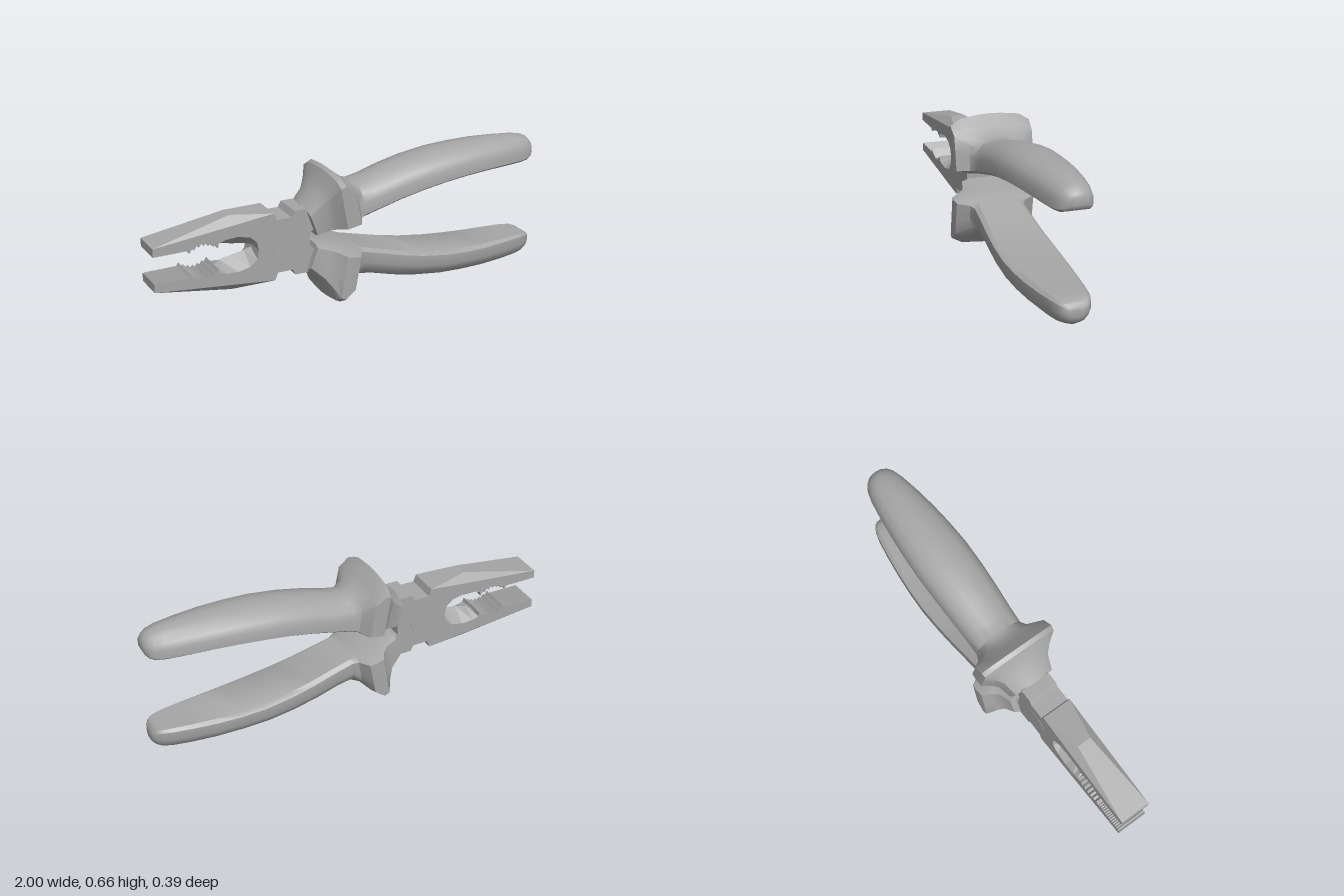
import * as THREE from 'three';
import { toCreasedNormals } from 'three/addons/utils/BufferGeometryUtils.js';

const MID = 0.331;   // height of the mirror plane between the two halves
const HALF = 0.075;  // half thickness of the steel head

// Skins a row of closed rings (points run up the +z side, down the -z side; rings advance in +x).
function loft(rings, crease = 0.01) {
  const pos = [];
  const tri = (a, b, c) => {
    const area = new THREE.Triangle(a, b, c).getArea();
    if (area > 1e-8) for (const p of [a, b, c]) pos.push(p.x, p.y, p.z);
  };
  const n = rings[0].length;
  for (let i = 0; i < rings.length - 1; i++) {
    for (let j = 0; j < n; j++) {
      const k = (j + 1) % n, p = rings[i], q = rings[i + 1];
      tri(p[j], q[j], q[k]);
      tri(p[j], q[k], p[k]);
    }
  }
  const first = rings[0], last = rings[rings.length - 1];
  for (let j = 1; j < n - 1; j++) {
    tri(first[0], first[j], first[j + 1]);
    tri(last[0], last[j + 1], last[j]);
  }
  const g = new THREE.BufferGeometry();
  g.setAttribute('position', new THREE.Float32BufferAttribute(pos, 3));
  return toCreasedNormals(g, crease);
}

// Mirrors a non-indexed geometry to the lower half, keeping faces outward.
function mirrored(geometry, crease) {
  const g = geometry.clone();
  const p = g.attributes.position;
  for (let i = 0; i < p.count; i += 3) {
    const v = [0, 2, 1].map(k => new THREE.Vector3().fromBufferAttribute(geometry.attributes.position, i + k));
    v.forEach((a, k) => p.setXYZ(i + k, a.x, 2 * MID - a.y, a.z));
  }
  return toCreasedNormals(g, crease);
}

// Upper half of the head outline, from the rear centre round to the back of the mouth.
function headOutline() {
  const pts = [
    [-0.24, MID], [-0.24, 0.372], [-0.2, 0.385], [-0.2, 0.46], [-0.255, 0.488], [-0.315, 0.488],
    [-0.33, 0.46], [-0.405, 0.46], [-0.418, 0.495], [-1, 0.435], [-1, 0.395],
  ];
  // fine gripping serrations
  for (let i = 0; i < 14; i++) {
    const x = -0.995 + i * 0.0115;
    pts.push([x, 0.398], [x + 0.006, 0.393]);
  }
  // coarse teeth on a hollow
  for (let i = 0; i <= 12; i++) {
    const t = i / 12;
    pts.push([-0.83 + 0.135 * t, 0.386 + 0.024 * Math.sin(Math.PI * t) + (i % 2 ? 0.007 : -0.006)]);
  }
  pts.push([-0.69, 0.402], [-0.66, 0.412], [-0.6, 0.416], [-0.54, 0.403], [-0.505, 0.372], [-0.497, MID]);
  return pts;
}

function headGeometry() {
  const upper = headOutline();
  const lower = upper.slice(1, -1).reverse().map(([x, y]) => [x, 2 * MID - y]);
  const shape = new THREE.Shape([...upper, ...lower].map(([x, y]) => new THREE.Vector2(x, y)));
  const g = new THREE.ExtrudeGeometry(shape, { depth: 2 * HALF, bevelEnabled: false });
  return g.translate(0, 0, -HALF);
}

// Chamfered back of the jaw, narrowing to its highest point
function jawBackGeometry() {
  const stations = [[-1, 0.435, 0.435, HALF], [-0.62, 0.474, 0.512, 0.035], [-0.418, 0.495, 0.495, HALF]];
  return loft(stations.map(([x, y0, y1, w]) => [
    new THREE.Vector3(x, y0, HALF), new THREE.Vector3(x, y1, w),
    new THREE.Vector3(x, y1, -w), new THREE.Vector3(x, y0, -HALF),
  ]));
}

// Wedge with its sharp edge in the middle of the thickness
function cutterGeometry() {
  const stations = [
    [-0.69, 0.402, 0.392], [-0.66, 0.412, 0.372], [-0.6, 0.416, 0.358],
    [-0.54, 0.403, 0.348], [-0.505, 0.372, 0.338],
  ];
  return loft(stations.map(([x, base, edge]) => [
    new THREE.Vector3(x, edge, 0), new THREE.Vector3(x, base, HALF), new THREE.Vector3(x, base, -HALF),
  ]));
}

// Half cross-sections: [share of half width, share of height]
const GRIP = [[0.84, 0], [1, 0.1], [1, 0.45], [0.88, 0.68], [0.64, 0.87], [0.3, 0.96]];
const GUARD = [[0.62, 0], [1, 0.08], [1, 0.5], [1, 0.84], [0.74, 0.95], [0.3, 0.99]];

// Sleeve with a flared finger guard and a long curved grip
function handleGeometry() {
  // top x, top y, bottom x, bottom y, half width, guard share
  const stations = [
    [-0.26, 0.49, -0.212, 0.353, 0.108, 0.6],
    [-0.2, 0.55, -0.15, 0.367, 0.125, 0.8],
    [-0.172, 0.585, -0.125, 0.373, 0.15, 1],
    [-0.145, 0.642, -0.1, 0.378, 0.192, 1],
    [-0.125, 0.652, -0.06, 0.386, 0.195, 1],
    [-0.07, 0.606, -0.03, 0.394, 0.192, 1],
    [-0.03, 0.577, 0, 0.402, 0.135, 0.5],
    [0.01, 0.567, 0.03, 0.41, 0.122, 0],
    [0.08, 0.578, 0.11, 0.432, 0.125, 0],
    [0.19, 0.608, 0.225, 0.463, 0.131, 0],
    [0.31, 0.632, 0.34, 0.488, 0.136, 0],
    [0.45, 0.65, 0.47, 0.508, 0.138, 0],
    [0.58, 0.657, 0.59, 0.518, 0.132, 0],
    [0.7, 0.659, 0.7, 0.522, 0.122, 0],
    [0.82, 0.655, 0.82, 0.522, 0.107, 0],
    [0.91, 0.648, 0.91, 0.522, 0.092, 0],
    [0.955, 0.639, 0.955, 0.525, 0.079, 0],
    [0.98, 0.626, 0.98, 0.533, 0.063, 0],
    [0.994, 0.61, 0.994, 0.547, 0.046, 0],
    [1, 0.595, 1, 0.56, 0.026, 0],
  ];
  const rings = stations.map(([tx, ty, bx, by, w, k]) => {
    const at = (s, t) => new THREE.Vector3(bx + (tx - bx) * t, by + (ty - by) * t, s * w);
    const half = GRIP.map(([s, t], i) => [s + (GUARD[i][0] - s) * k, t + (GUARD[i][1] - t) * k]);
    return [
      ...half.map(([s, t]) => at(s, t)),
      at(0, 1),
      ...half.reverse().map(([s, t]) => at(-s, t)),
    ];
  });
  return loft(rings, 0.6);
}

export function createModel() {
  const steel = new THREE.MeshStandardMaterial({ color: 0xa6a6a6 });
  steel.name = 'grey';
  const model = new THREE.Group();
  model.name = 'pliers';
  const add = (name, geometry) => {
    const mesh = new THREE.Mesh(geometry, steel);
    mesh.name = name;
    model.add(mesh);
    return mesh;
  };

  add('head', headGeometry());

  // flush pivot pin
  const pin = add('pivotPin', new THREE.CylinderGeometry(0.06, 0.06, 2 * HALF + 0.003, 32));
  pin.rotation.x = Math.PI / 2;
  pin.position.set(-0.37, 0.334, 0);

  // matching upper and lower parts
  const pairs = [
    ['JawBack', jawBackGeometry(), 0.01],
    ['Cutter', cutterGeometry(), 0.01],
    ['Handle', handleGeometry(), 0.6],
  ];
  for (const [name, geometry, crease] of pairs) {
    add('upper' + name, geometry);
    add('lower' + name, mirrored(geometry, crease));
  }
  return model;
}
